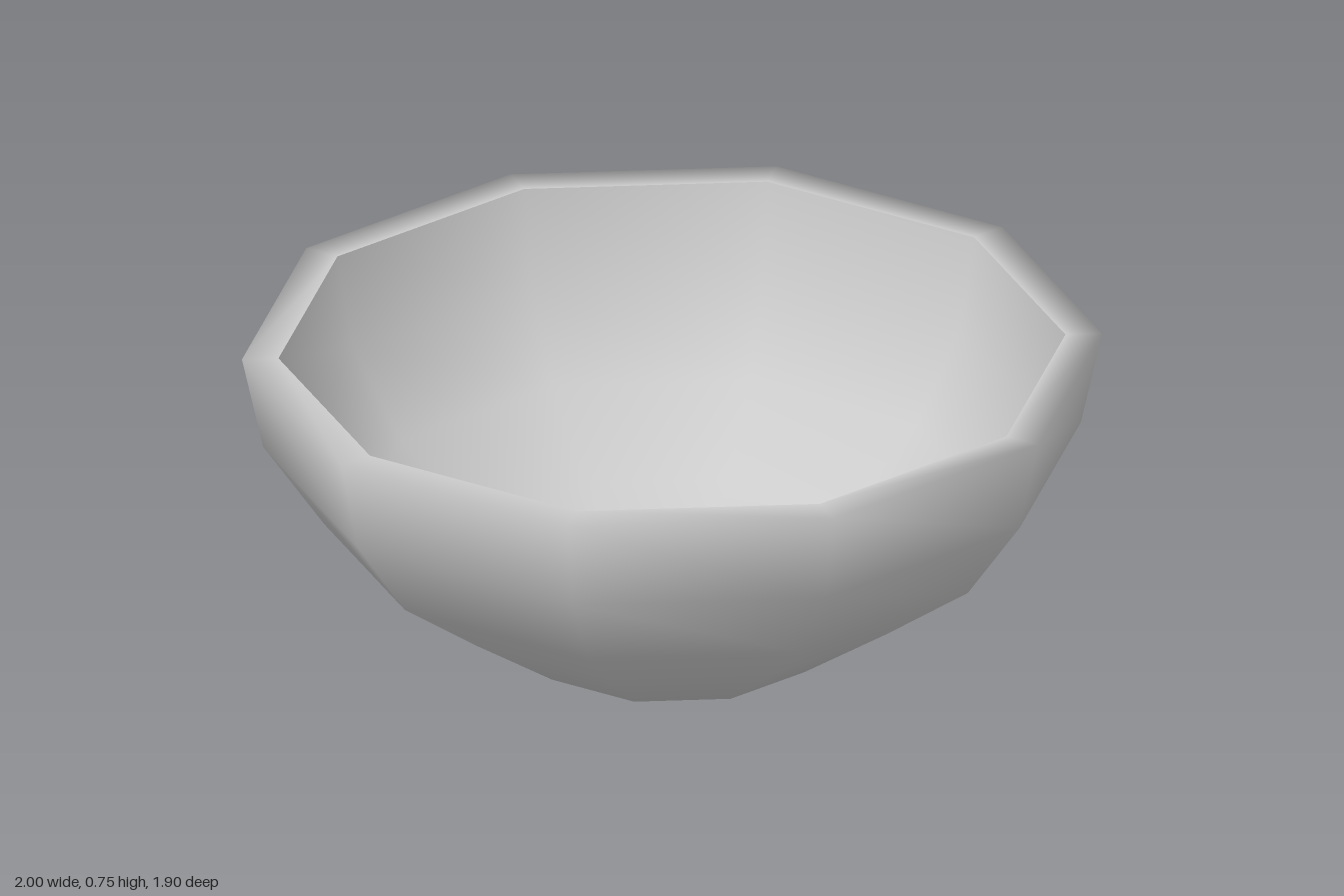
import * as THREE from 'three';

const material = new THREE.MeshStandardMaterial({ color: 0xcccccc });

// ten-sided smooth turned part with corners on the x axis
function turned(name, profile) {
  const geometry = new THREE.LatheGeometry(profile, 10, Math.PI / 2);
  geometry.normalizeNormals();
  const mesh = new THREE.Mesh(geometry, material);
  mesh.name = name;
  return mesh;
}

export function createModel() {
  const model = new THREE.Group();
  const rim = 0.745; // rim height
  const inner = 0.915; // radius of the opening

  // squashed hemisphere rings at 18 degree steps, from low to rim
  const rings = (radius) => [3, 2, 1, 0].map((i) => {
    const a = i * Math.PI / 10;
    return new THREE.Vector2(radius * Math.cos(a), rim - 0.73 * Math.sin(a));
  });

  // outside: flat foot, curved wall and flat lip
  model.add(turned('outerShell', [
    new THREE.Vector2(0, 0),
    new THREE.Vector2(0.363, 0),
    ...rings(1),
    new THREE.Vector2(inner, rim),
  ]));

  // inside: curved wall down to a thin floor, meeting the lip at a sharp edge
  model.add(turned('innerShell', [
    ...rings(inner).reverse(),
    new THREE.Vector2(0.31, 0.02),
    new THREE.Vector2(0, 0.015),
  ]));
  return model;
}
